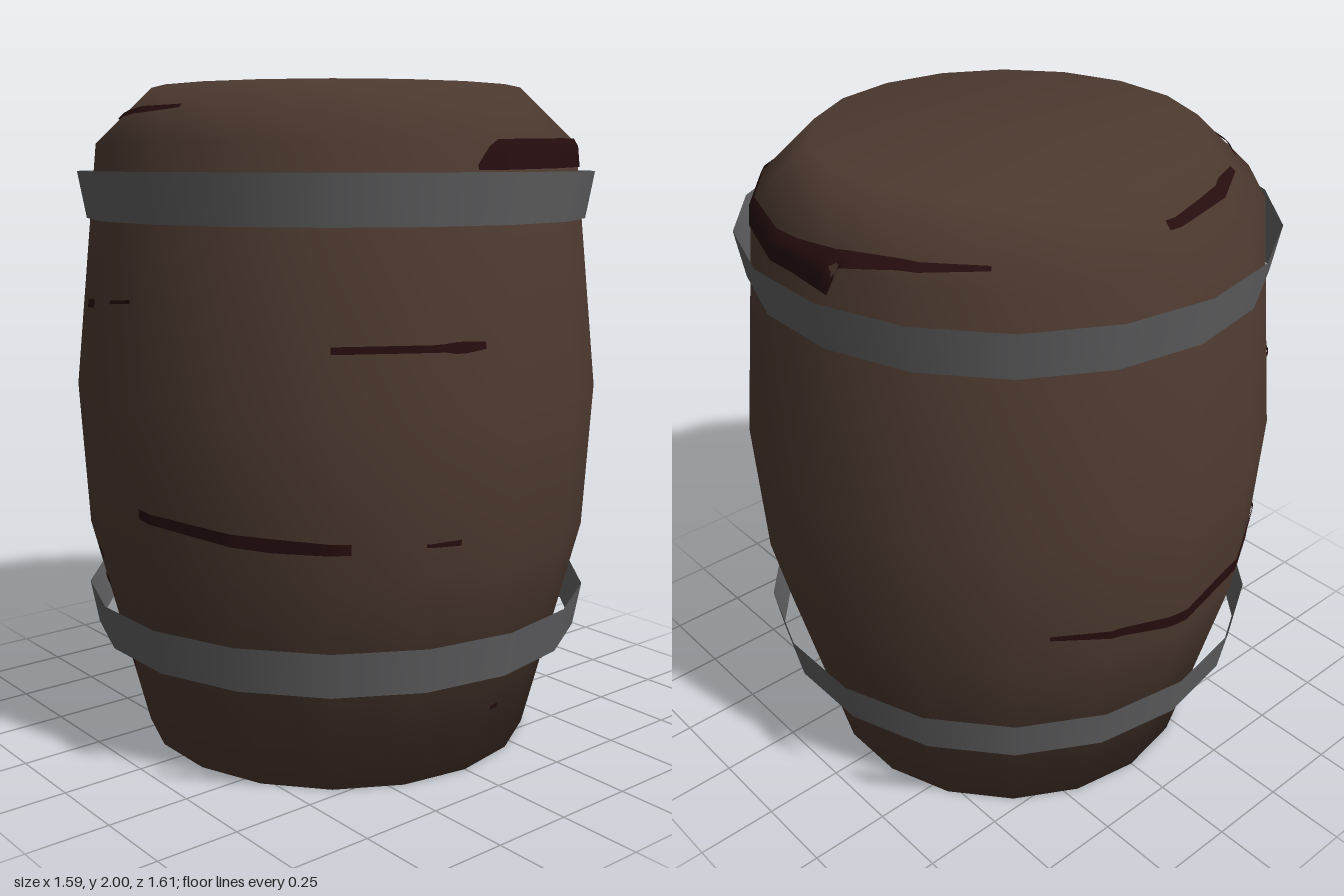
import * as THREE from 'three';

const SIDES = 18;
const STEP = (Math.PI * 2) / SIDES;
const RAD = Math.PI / 180;

// Barrel profile: [radius, height]
const PROFILE = [[0, 0], [0.61, 0], [0.78, 0.67], [0.805, 1.11], [0.73, 1.835], [0.56, 2], [0, 2]];

// Distance from the axis to the faceted wall at an angle and height
function wallRadius(angle, y) {
  let r = 0.56;
  for (let i = 1; i < 5; i++) {
    const [r0, y0] = PROFILE[i], [r1, y1] = PROFILE[i + 1];
    if (y >= y0 && y <= y1) r = r0 + ((r1 - r0) * (y - y0)) / (y1 - y0);
  }
  const local = (((angle % STEP) + STEP) % STEP) - STEP / 2;
  return (r * Math.cos(STEP / 2)) / Math.cos(local);
}

// Thin stain lying on the wall; keys are [angle in degrees, low edge, high edge]
function stainGeometry(keys) {
  const positions = [], index = [];
  const first = keys[0][0], last = keys[keys.length - 1][0];
  const angles = [first];
  for (let a = Math.floor(first / 2.5) * 2.5 + 2.5; a < last; a += 2.5) angles.push(a);
  angles.push(last);
  const rows = 4;
  angles.forEach((deg, i) => {
    let k = 0;
    while (k < keys.length - 2 && deg > keys[k + 1][0]) k++;
    const [a0, l0, h0] = keys[k], [a1, l1, h1] = keys[k + 1];
    const t = (deg - a0) / (a1 - a0);
    const low = l0 + (l1 - l0) * t, high = h0 + (h1 - h0) * t;
    const a = deg * RAD;
    for (let j = 0; j <= rows; j++) {
      const y = low + ((high - low) * j) / rows;
      const r = wallRadius(a, y) + 0.005;
      positions.push(r * Math.sin(a), y + (y > 1.83 ? 0.003 : 0), r * Math.cos(a));
      if (i > 0 && j > 0) {
        const q = i * (rows + 1) + j, p = q - rows - 1;
        index.push(p - 1, q - 1, q, p - 1, q, p);
      }
    }
  });
  const g = new THREE.BufferGeometry();
  g.setAttribute('position', new THREE.Float32BufferAttribute(positions, 3));
  g.setIndex(index);
  g.computeVertexNormals();
  return g;
}

export function createModel() {
  const wood = new THREE.MeshStandardMaterial({ color: 0x4d3a30 });
  wood.name = 'dark brown wood';
  const iron = new THREE.MeshStandardMaterial({ color: 0x606062, side: THREE.DoubleSide });
  iron.name = 'grey iron';
  const stain = new THREE.MeshStandardMaterial({ color: 0x260d0e, side: THREE.DoubleSide });
  stain.name = 'dark red stain';

  const model = new THREE.Group();
  model.name = 'barrel';
  const add = (name, geometry, material) => {
    const mesh = new THREE.Mesh(geometry, material);
    mesh.name = name;
    model.add(mesh);
    return mesh;
  };

  // Closed body, smooth shaded
  add('body', new THREE.LatheGeometry(PROFILE.map(([r, y]) => new THREE.Vector2(r, y)), SIDES), wood);

  // Open hoops flaring upward
  for (const [name, low, high] of [['lowerHoop', 0.34, 0.475], ['upperHoop', 1.615, 1.755]]) {
    const hoop = new THREE.CylinderGeometry(0.788, 0.763, high - low, SIDES, 1, true);
    add(name, hoop, iron).position.y = (low + high) / 2;
  }

  // Stains around the shoulder and rim
  const stains = {
    shoulderStain: [[-8, 1.76, 1.775], [-4, 1.76, 1.838], [25, 1.765, 1.845], [60, 1.77, 1.85],
      [88, 1.77, 1.855], [100, 1.76, 1.87], [102, 1.835, 1.872], [116, 1.858, 1.88], [135, 1.872, 1.882]],
    rimStainBack: [[177, 1.905, 1.925], [192, 1.91, 1.935], [204, 1.915, 1.945], [216, 1.92, 1.935]],
    rimStainSide: [[231, 1.9, 1.908], [245, 1.91, 1.93], [262, 1.915, 1.935], [279, 1.925, 1.935]],
    // Streaks across the wall
    frontStreak: [[-40, 1.29, 1.31], [-18, 1.29, 1.31], [-14, 1.28, 1.315], [-8, 1.29, 1.31]],
    lowerStreak: [[-84, 0.79, 0.82], [-64, 0.765, 0.8], [-52, 0.75, 0.79], [-36, 0.75, 0.78]],
    lowerStreakEnd: [[-21, 0.762, 0.772], [-13, 0.755, 0.772]],
    backStreak: [[147, 0.785, 0.8], [162, 0.76, 0.79], [176, 0.71, 0.75], [195, 0.73, 0.775],
      [212, 0.745, 0.785], [219, 0.765, 0.8], [221, 0.785, 0.795], [229, 0.795, 0.805]],
    backDash: [[218, 1.345, 1.36], [230, 1.345, 1.36]],
    sideDash: [[248, 1.355, 1.38], [256, 1.365, 1.39]],
    sideDashEnd: [[265, 1.385, 1.395], [273, 1.395, 1.405]],
    // Small drops
    dropA: [[246, 0.58, 0.62], [250, 0.58, 0.62]],
    dropB: [[242, 0.485, 0.51], [247, 0.475, 0.52]],
    dropC: [[242, 0.235, 0.265], [250, 0.215, 0.25]],
    dropD: [[40, 0.215, 0.235], [47, 0.215, 0.24]],
    dropE: [[5, 0.185, 0.2], [8, 0.185, 0.2]],
    dropF: [[95, 0.25, 0.26], [103, 0.25, 0.262]],
  };
  for (const [name, keys] of Object.entries(stains)) add(name, stainGeometry(keys), stain);

  return model;
}
